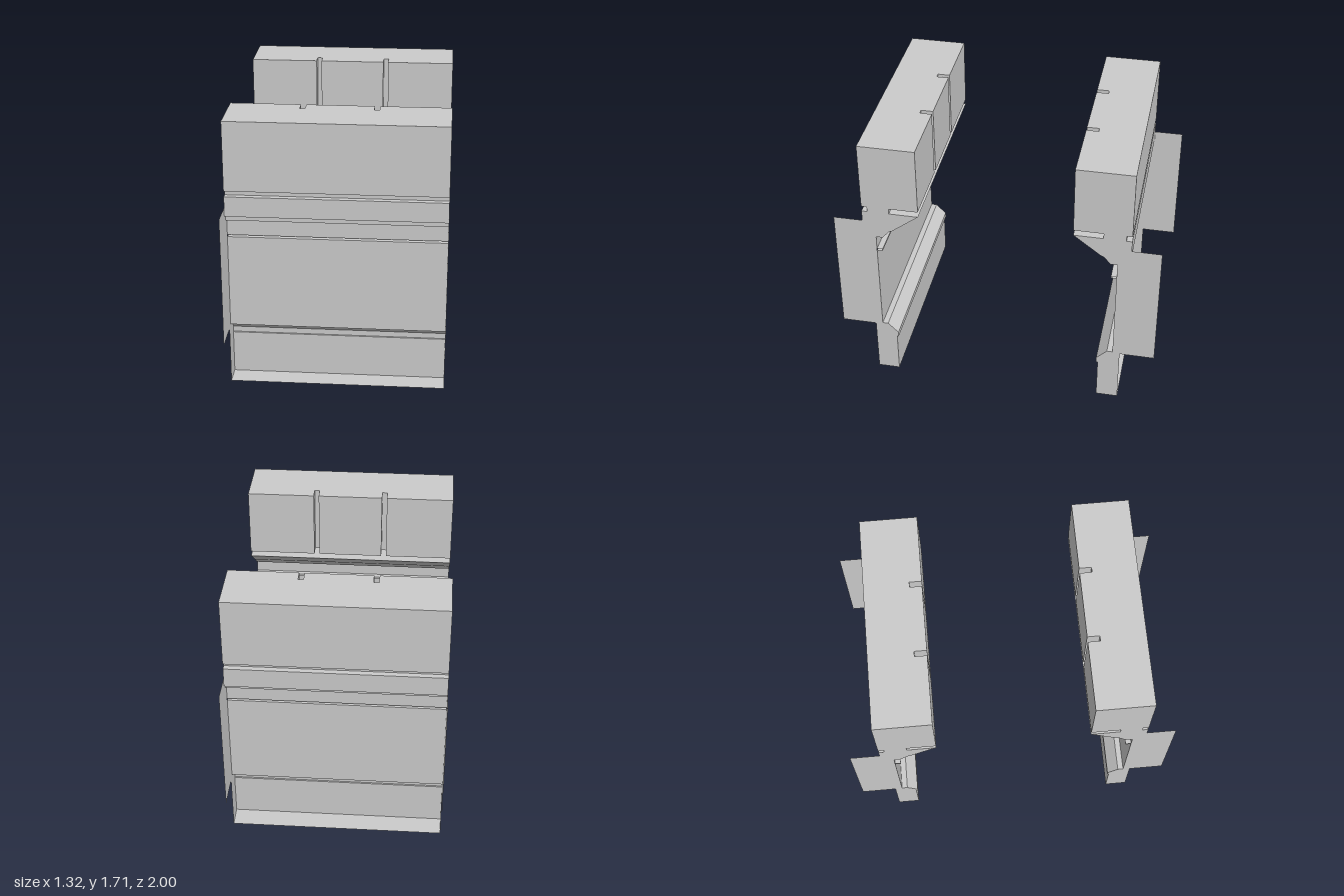
import * as THREE from 'three';

const W = 1.32; // overall width along x
const material = new THREE.MeshStandardMaterial({ color: 0xcccccc, flatShading: true, side: THREE.DoubleSide });

function shapeOf(points) {
  return new THREE.Shape(points.map(([a, b]) => new THREE.Vector2(a, b)));
}

function add(group, name, geometry) {
  const mesh = new THREE.Mesh(geometry, material);
  mesh.name = name;
  group.add(mesh);
  return mesh;
}

// Solid with a (z, y) cross-section running the full width.
function solidAlongX(points) {
  const g = new THREE.ExtrudeGeometry(shapeOf(points), { depth: W, bevelEnabled: false });
  return g.translate(0, 0, -W / 2).rotateY(-Math.PI / 2);
}

// Open sheet with a (z, y) cross-section running the full width.
function sheetAlongX(points) {
  const pos = [];
  for (let i = 0; i < points.length - 1; i++) {
    const [z0, y0] = points[i], [z1, y1] = points[i + 1], h = W / 2;
    pos.push(-h, y0, z0, h, y0, z0, h, y1, z1, -h, y0, z0, h, y1, z1, -h, y1, z1);
  }
  const g = new THREE.BufferGeometry();
  g.setAttribute('position', new THREE.Float32BufferAttribute(pos, 3));
  g.computeVertexNormals();
  return g;
}

// Flat (z, y) plate at a given x.
function plateAt(points, x) {
  return new THREE.ShapeGeometry(shapeOf(points)).rotateY(-Math.PI / 2).translate(x, 0, 0);
}

function createWall() {
  const wall = new THREE.Group();
  const h = W / 2;

  // Top block, with two upright slots in its inner face
  const inner = -0.47, outer = -0.82, slotDepth = 0.075, slotHalf = 0.016;
  const outline = [[-h, outer], [h, outer], [h, inner]];
  for (const x of [0.22, -0.22]) {
    outline.push([x + slotHalf, inner], [x + slotHalf, inner - slotDepth],
      [x - slotHalf, inner - slotDepth], [x - slotHalf, inner]);
  }
  outline.push([-h, inner]);
  const block = new THREE.ExtrudeGeometry(shapeOf(outline), { depth: 0.43, bevelEnabled: false });
  add(wall, 'topBlock', block.rotateX(-Math.PI / 2).translate(0, 1.28, 0));

  // Sloping bracket and the narrow neck under the block
  add(wall, 'bracket', solidAlongX([
    [0.74, 1.06], [0.70, 1.06], [0.655, 1.11], [0.64, 1.115], [0.47, 1.245], [0.65, 1.245], [0.65, 1.28],
    [0.785, 1.28], [0.785, 1.245], [0.82, 1.245], [0.82, 1.12], [0.78, 1.12], [0.78, 1.08], [0.74, 1.08],
  ]));

  // Wall sheet with its thin ledge, sloping base and floor, open to the outside
  const base = [[0.74, 0.37], [0.705, 0.37], [0.64, 0.305], [0.64, 0.27], [0.65, 0.27], [0.65, 0], [0.785, 0]];
  add(wall, 'wallSheet', sheetAlongX([
    [0.74, 1.06], [0.74, 0.97], [0.705, 0.97], [0.705, 0.957], [0.74, 0.957], ...base,
  ]));

  // End plates: base ends and outward side panels
  for (const x of [-h, h]) {
    add(wall, 'baseEnd', plateAt([...base, [0.785, 0.36], [0.74, 0.36]], x));
    add(wall, 'sidePanel', plateAt([[0.74, 0.36], [1, 0.36], [1, 1.175], [0.74, 1.175]], x));
  }
  return wall;
}

export function createModel() {
  const model = new THREE.Group();
  const front = createWall();
  front.name = 'frontWall';
  const back = createWall();
  back.name = 'backWall';
  back.rotation.y = Math.PI;
  model.add(front, back);
  return model;
}
